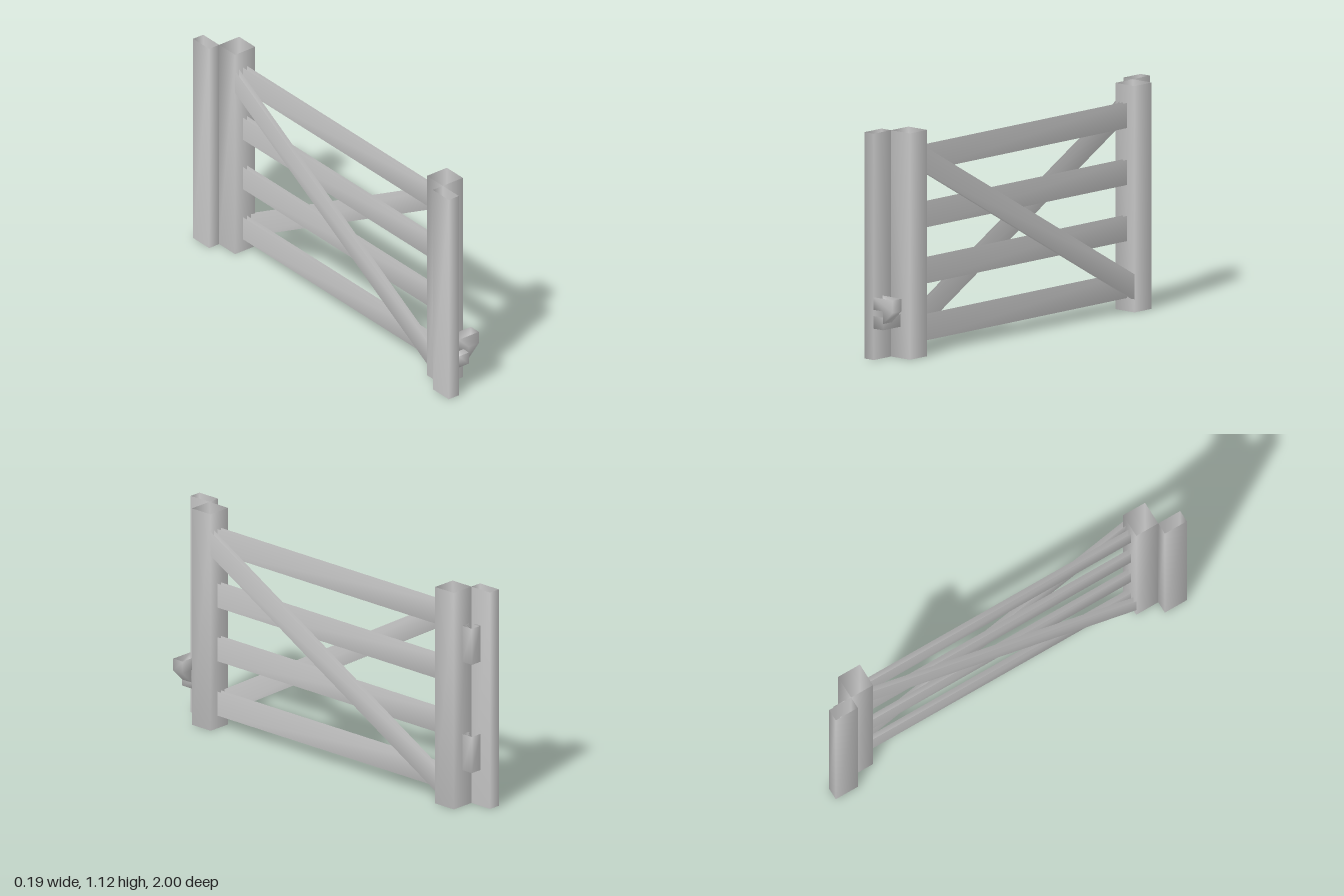
import * as THREE from 'three';

const material = new THREE.MeshStandardMaterial({ color: 0xcccccc, side: THREE.DoubleSide });
const U = 1 / 16;

// Open-topped trough: a counter-clockwise x/y profile swept from z0 to z1,
// sharing vertices for smooth shading; slope raises y along z.
function trough(name, profile, z0, z1, { capped = true, slope = 0 } = {}) {
  const n = profile.length, positions = [], index = [];
  for (const z of [z0, z1])
    for (const [x, y] of profile) positions.push(x, y + slope * z, z);
  for (let i = 0; i < n - 1; i++)
    index.push(n + i, i, i + 1, n + i, i + 1, n + i + 1);
  if (capped) {
    const contour = profile.map(([x, y]) => new THREE.Vector2(x, y));
    for (const [a, b, c] of THREE.ShapeUtils.triangulateShape(contour, []))
      index.push(n + a, n + b, n + c, c, b, a);
  }
  const geometry = new THREE.BufferGeometry();
  geometry.setAttribute('position', new THREE.Float32BufferAttribute(positions, 3));
  geometry.setIndex(index);
  geometry.computeVertexNormals();
  const mesh = new THREE.Mesh(geometry, material);
  mesh.name = name;
  return mesh;
}

const rect = (x0, x1, y0, y1) => [[x0, y1], [x0, y0], [x1, y0], [x1, y1]];

export function createModel() {
  const gate = new THREE.Group();
  gate.name = 'gate';
  const left = 1.5 * U, inner = -0.5 * U, right = -1.5 * U;
  const height = 18 * U, railEnd = 0.75;

  // Gate stiles and the narrower fixed posts at both ends
  const stile = rect(inner, left, 0, height);
  const post = rect(right, inner, 0, height);
  gate.add(
    trough('frontStile', stile, 0.75, 0.875),
    trough('backStile', stile, -0.875, -0.75),
    trough('frontPost', post, 0.875, 1),
    trough('backPost', post, -1, -0.875)
  );

  // Horizontal rails in the middle layer
  const t = 0.025;
  for (const y of [0.065, 0.348, 0.627, 0.91])
    gate.add(trough('rail', rect(0.019, 0.019 + t, y, y + 0.125), -railEnd, railEnd, { capped: false }));

  // Crossed braces, one on each face of the rails
  const slope = (0.91 - 0.065) / (2 * railEnd);
  for (const [name, x, s] of [['leftBrace', left - t, slope], ['rightBrace', inner, -slope]])
    gate.add(trough(name, rect(x, x + t, 0.4875, 0.6125), -railEnd, railEnd, { capped: false, slope: s }));

  // Hinges between back stile and back post
  for (const y of [3 * U, 12 * U])
    gate.add(trough('hinge', rect(inner, 0.5 * U, y, y + 3 * U), -15 * U, -14 * U));

  // Latch bolt and the hook that drops over it
  gate.add(trough('latchBolt', rect(inner, 0.5 * U, 2.5 * U, 3.5 * U), 0.875, 1));
  const hook = [[inner, 5 * U], [inner, 4 * U], [0.5 * U, 4 * U], [0.5 * U, 3 * U], [left, 4 * U], [left, 5 * U]];
  gate.add(trough('latchHook', hook, 15 * U, 1));

  return gate;
}
